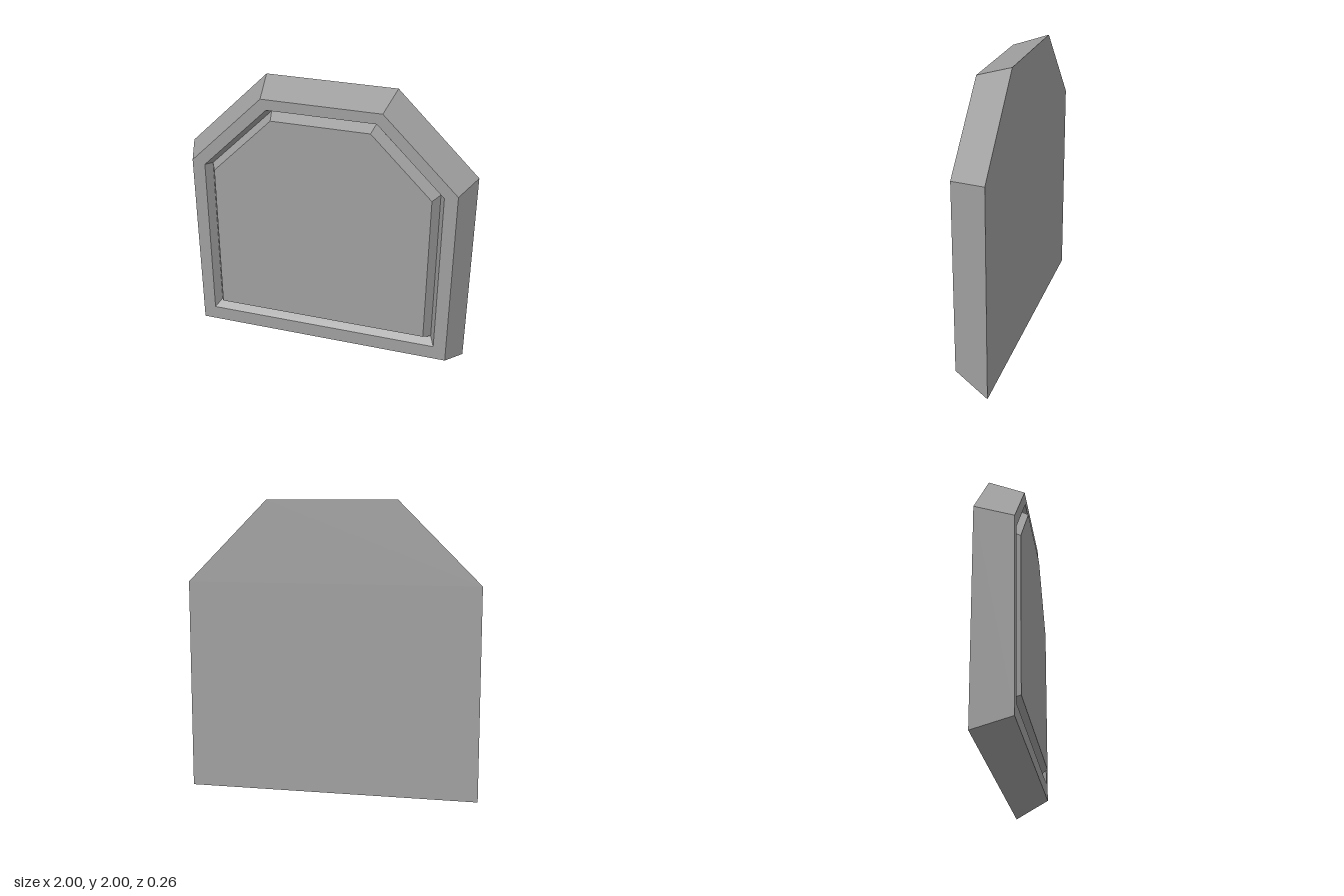
import * as THREE from 'three';

// Outline of the arched plate: a rectangle with its two top corners cut off
function outline([halfWidth, bottom, shoulder, topHalf, top, z]) {
  return [
    [-halfWidth, bottom, z], [halfWidth, bottom, z], [halfWidth, shoulder, z],
    [topHalf, top, z], [-topHalf, top, z], [-halfWidth, shoulder, z],
  ];
}

// Flat-faced surface from triangles [a, b, c], counter-clockwise seen from outside
function mesh(name, triangles) {
  const geometry = new THREE.BufferGeometry();
  geometry.setAttribute('position', new THREE.Float32BufferAttribute(triangles.flat(2), 3));
  geometry.computeVertexNormals();
  const material = new THREE.MeshStandardMaterial({ color: 0x9f9f9f, flatShading: true });
  const part = new THREE.Mesh(geometry, material);
  part.name = name;
  return part;
}

// Band of quads joining an outline to the next one inwards
function band(outer, inner) {
  return outer.flatMap((a, i) => {
    const j = (i + 1) % outer.length;
    return [[a, outer[j], inner[j]], [a, inner[j], inner[i]]];
  });
}

// Fan filling a convex outline
function cap(loop) {
  return loop.slice(2).map((p, i) => [loop[0], loop[i + 1], p]);
}

export function createModel() {
  const group = new THREE.Group();
  group.name = 'archedPlaque';

  // half width, bottom, shoulder height, half top width, top, z
  const back = outline([1, 0, 1.445, 0.443, 2, -0.13]);
  const rim = outline([0.908, 0.107, 1.418, 0.402, 1.923, 0.113]);
  const grooveEdge = outline([0.82, 0.21, 1.395, 0.366, 1.85, 0.113]);
  const grooveFloor = outline([0.787, 0.25, 1.384, 0.349, 1.822, 0.05]);
  const panel = outline([0.745, 0.293, 1.371, 0.332, 1.787, 0.13]);

  group.add(
    mesh('backFace', cap([...back].reverse())),
    mesh('bevelledSides', band(back, rim)),
    mesh('frontRim', band(rim, grooveEdge)),
    mesh('groove', [...band(grooveEdge, grooveFloor), ...band(grooveFloor, panel)]),
    mesh('raisedPanel', cap(panel)),
  );
  return group;
}
